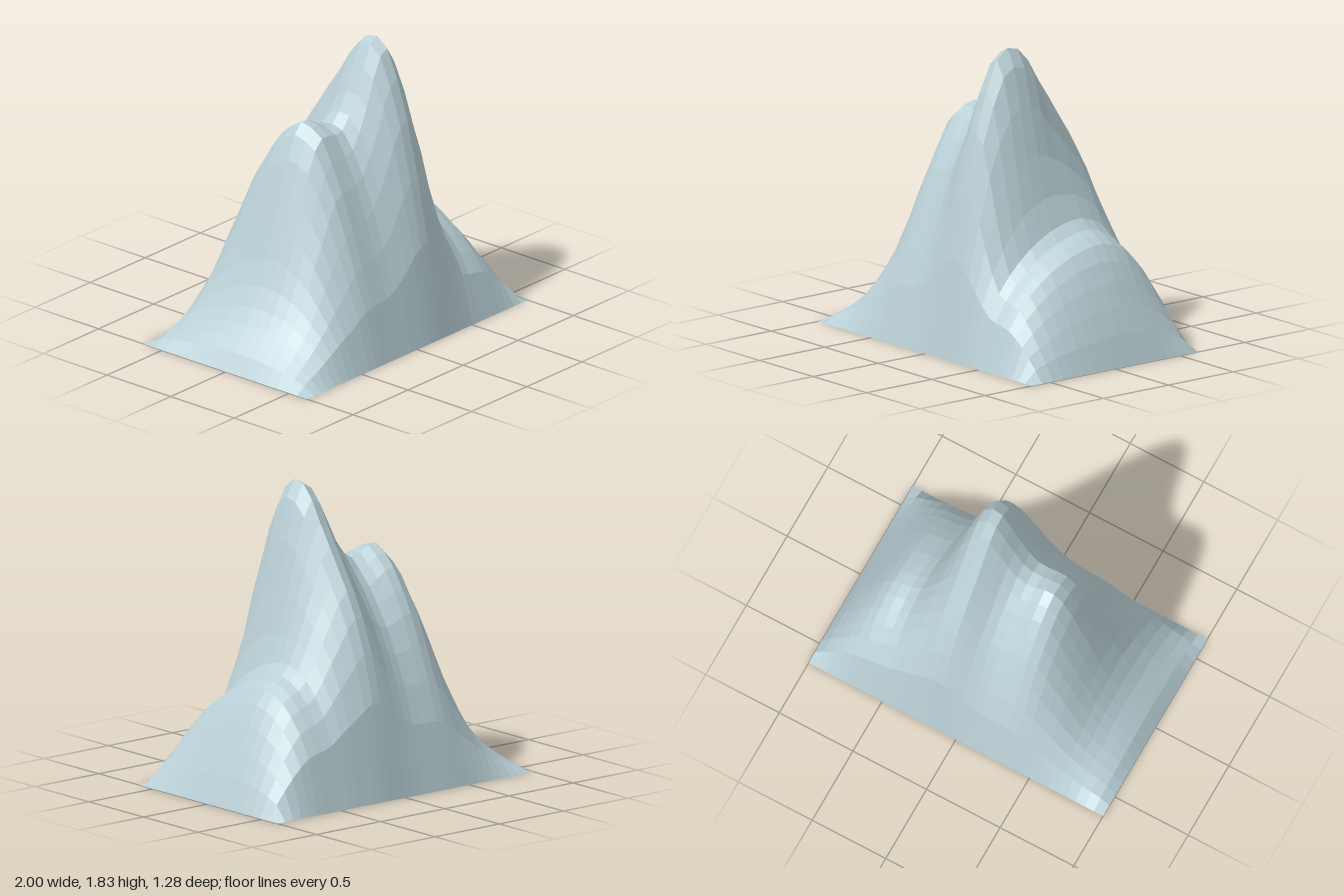
import * as THREE from 'three';

const COLS = 32, ROWS = 16, WIDTH = 2, DEPTH = 1.28;
const { lerp, smoothstep } = THREE.MathUtils;

// Skyline heights from left edge to right edge, one per grid column
const skyline = [0, .11, .18, .25, .34, .46, .62, .81, 1, 1.19, 1.33, 1.395, 1.39, 1.365, 1.36, 1.42, 1.525,
  1.67, 1.8, 1.835, 1.73, 1.51, 1.24, .99, .81, .745, .72, .68, .59, .47, .33, .18, 0];

// Fall of each ridge from back to front, evenly spaced, before the edge taper
const toeRidge = [.74, .82, .88, .94, .98, 1, 1, .93, .8];
const leftRidge = [.58, .74, .87, .95, 1, .99, .87, .68, .46];
const mainRidge = [.7, .73, .77, .79, .8, .81, .84, .88, .945, 1, 1.04, 1.06, 1.035, .99, .89, .75, .6];
const rightRidge = [1.1, 1.1, 1.09, 1.04, .97, .92, .89, .88, .86];

// Linear lookup in an evenly spaced profile, t from 0 to 1
function sample(profile, t) {
  const s = t * (profile.length - 1);
  const i = Math.min(Math.floor(s), profile.length - 2);
  return lerp(profile[i], profile[i + 1], s - i);
}

function heightAt(x, z) {
  const u = x / WIDTH + 0.5, v = z / DEPTH + 0.5;
  let ridge = lerp(sample(toeRidge, v), sample(leftRidge, v), smoothstep(x, -0.8, -0.45));
  ridge = lerp(ridge, sample(mainRidge, v), smoothstep(x, -0.3, 0.1));
  ridge = lerp(ridge, sample(rightRidge, v), smoothstep(x, 0.26, 0.54));
  const taper = Math.sqrt(Math.max(0, Math.sin(Math.PI * v)));
  return sample(skyline, u) * ridge * taper;
}

// One shared normal for the two triangles of each grid cell
function facetCells(grid) {
  const geometry = grid.toNonIndexed();
  geometry.computeVertexNormals();
  const normals = geometry.attributes.normal;
  const a = new THREE.Vector3(), b = new THREE.Vector3();
  for (let i = 0; i < normals.count; i += 6) {
    a.fromBufferAttribute(normals, i).add(b.fromBufferAttribute(normals, i + 3)).normalize();
    for (let k = 0; k < 6; k++) normals.setXYZ(i + k, a.x, a.y, a.z);
  }
  return geometry;
}

export function createModel() {
  const group = new THREE.Group();
  group.name = 'mountain';
  const rock = new THREE.MeshStandardMaterial({ color: 0xbad0d6 });

  // Slopes: a grid lifted by the height rule
  const grid = new THREE.PlaneGeometry(WIDTH, DEPTH, COLS, ROWS).rotateX(-Math.PI / 2);
  const p = grid.attributes.position;
  for (let i = 0; i < p.count; i++) {
    const onEdge = Math.abs(p.getX(i)) > 0.999 || Math.abs(p.getZ(i)) > 0.639;
    p.setY(i, onEdge ? 0 : heightAt(p.getX(i), p.getZ(i)));
  }
  const slopes = new THREE.Mesh(facetCells(grid), rock);
  slopes.name = 'slopes';

  // Flat underside
  const base = new THREE.Mesh(new THREE.PlaneGeometry(WIDTH, DEPTH).rotateX(Math.PI / 2), rock);
  base.name = 'base';

  group.add(slopes, base);
  return group;
}
